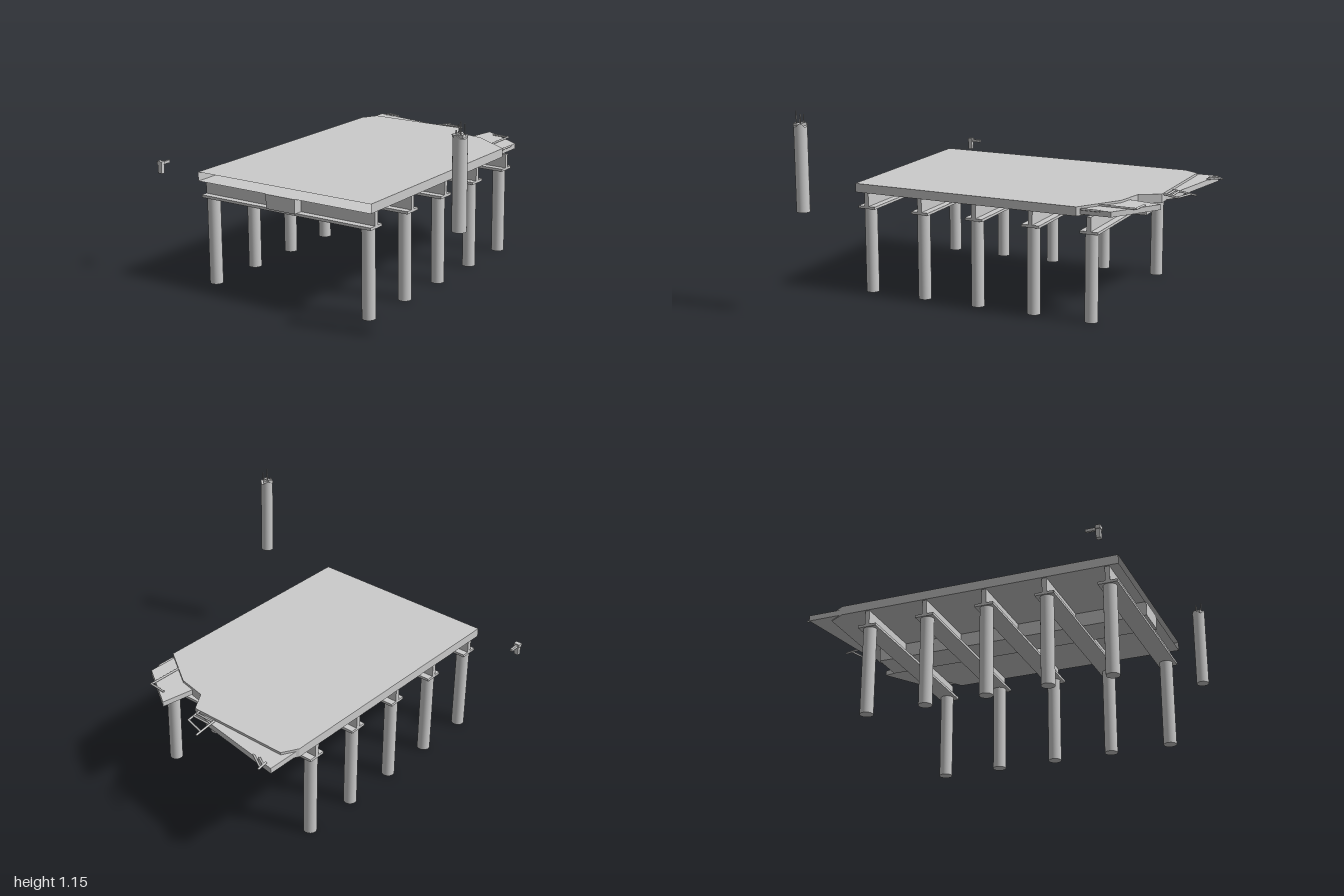
import * as THREE from 'three';

const mat = new THREE.MeshStandardMaterial({ color: 0xcccccc });
const thin = new THREE.MeshStandardMaterial({ color: 0xcccccc, side: THREE.DoubleSide });

export function createModel() {
  const root = new THREE.Group();

  const add = (name, geo, x = 0, y = 0, z = 0, material = mat) => {
    const m = new THREE.Mesh(geo, material);
    m.name = name;
    m.position.set(x, y, z);
    root.add(m);
    return m;
  };
  const box = (name, x0, x1, y0, y1, z0, z1) =>
    add(name, new THREE.BoxGeometry(x1 - x0, y1 - y0, z1 - z0),
      (x0 + x1) / 2, (y0 + y1) / 2, (z0 + z1) / 2);
  // Outline given as [x, z] pairs, laid flat
  const outline = pts => new THREE.Shape(pts.map(([x, z]) => new THREE.Vector2(x, -z)));
  const sheet = pts => new THREE.ShapeGeometry(outline(pts)).rotateX(-Math.PI / 2);
  const slab = (pts, depth) =>
    new THREE.ExtrudeGeometry(outline(pts), { depth, bevelEnabled: false }).rotateX(-Math.PI / 2);
  // Straight round bar between two points
  const bar = (name, a, b, r) => {
    const p = new THREE.Vector3(...a), q = new THREE.Vector3(...b);
    const d = q.clone().sub(p);
    const m = add(name, new THREE.CylinderGeometry(r, r, d.length(), 8));
    m.position.copy(p).add(q).multiplyScalar(0.5);
    m.quaternion.setFromUnitVectors(new THREE.Vector3(0, 1, 0), d.normalize());
    return m;
  };

  // Deck: top and bottom sheets, side walls, open along the front edge
  const y0 = 0.595, y1 = 0.646;
  const edge = [[0.44, 0.9], [0.44, -0.47], [0.2, -0.63], [0.03, -0.665],
    [-0.04, -0.78], [-0.65, -0.78], [-0.7, -0.69], [-0.7, 0.9]];
  add('deckTop', sheet(edge), 0, y1, 0, thin);
  add('deckUnderside', sheet(edge), 0, y0, 0, thin);
  const walls = [];
  for (let i = 0; i < edge.length - 1; i++) {
    const [ax, az] = edge[i], [bx, bz] = edge[i + 1];
    walls.push(ax, y0, az, bx, y0, bz, bx, y1, bz, ax, y0, az, bx, y1, bz, ax, y1, az);
  }
  const wallGeo = new THREE.BufferGeometry();
  wallGeo.setAttribute('position', new THREE.Float32BufferAttribute(walls, 3));
  wallGeo.computeVertexNormals();
  add('deckWalls', wallGeo, 0, 0, 0, thin);

  // Broken slabs at the back edge
  add('brokenSlabLeft', slab([[0.11, -0.65], [0.2, -0.625], [0.42, -0.48], [0.42, -0.66], [0.145, -0.84]], 0.03),
    0, 0.603, 0);
  add('brokenSlabRight', slab([[-0.69, -0.7], [-0.645, -0.775], [-0.09, -0.775], [-0.15, -0.81], [-0.69, -0.9]], 0.032),
    0, 0.6, 0);

  // Piles and cross beams
  for (const z of [0.835, 0.49, 0.15, -0.195, -0.538]) {
    for (const x of [-0.648, 0.38])
      add('pile', new THREE.CylinderGeometry(0.037, 0.037, 0.5, 24), x, 0.25, z);
    box('crossBeamFlange', -0.69, 0.43, 0.5, 0.515, z - 0.053, z + 0.053);
    box('crossBeamWeb', -0.69, 0.43, 0.515, y0, z - 0.013, z + 0.013);
  }
  // Central beam under the deck
  box('centralBeam', -0.23, -0.04, 0.515, y0, -0.69, 0.905);

  // Bent railings lying over the back edge
  const r = 0.006;
  const rails = [
    [[-0.64, 0.625, -0.94], [-0.64, 0.635, -0.88]],
    [[-0.64, 0.63, -0.925], [-0.55, 0.638, -0.875]],
    [[-0.64, 0.63, -0.9], [-0.59, 0.638, -0.875]],
    [[-0.193, 0.62, -0.93], [-0.193, 0.64, -0.79]],
    [[-0.07, 0.625, -0.865], [-0.07, 0.64, -0.775]],
    [[-0.193, 0.625, -0.895], [-0.07, 0.628, -0.863]],
    [[-0.193, 0.634, -0.825], [-0.07, 0.634, -0.825]],
    [[-0.193, 0.637, -0.8], [-0.07, 0.637, -0.8]],
    [[0.21, 0.637, -0.77], [0.32, 0.637, -0.76]],
    [[0.315, 0.637, -0.765], [0.315, 0.637, -0.55]],
    [[0.423, 0.632, -0.6], [0.423, 0.632, -0.49]],
  ];
  for (const [a, b] of rails) bar('railing', a, b, r);

  // Separate broken column with exposed rods
  const cx = 0.96, cz = 0.905;
  const column = new THREE.CylinderGeometry(0.037, 0.037, 0.48, 24, 1);
  const p = column.attributes.position;
  for (let i = 0; i < p.count; i++)
    if (p.getY(i) > 0) p.setY(i, 0.235 + 0.012 * Math.sin(p.getX(i) * 90 + p.getZ(i) * 60));
  column.computeVertexNormals();
  add('column', column, cx, 0.835, cz);
  const lumps = [[0.015, 0.012], [-0.018, 0.01], [-0.006, -0.018]];
  lumps.forEach(([x, z], i) => {
    const lump = add('columnRubble', new THREE.BoxGeometry(0.03, 0.016, 0.026), cx + x, 1.074, cz + z);
    lump.rotation.set(0.15, i * 1.1, 0.1);
  });
  const rods = [[-0.015, -0.012, 1.125], [0.012, 0.016, 1.147], [0.018, -0.014, 1.13], [-0.014, 0.014, 1.1]];
  for (const [x, z, top] of rods)
    bar('columnRod', [cx + x, 1.05, cz + z], [cx + x, top, cz + z], 0.003);

  // Small separate post with a cap and an arm
  box('smallPost', -0.993, -0.967, 0.595, 0.645, 0.877, 0.9);
  box('smallPostCap', -0.998, -0.962, 0.645, 0.665, 0.875, 0.903);
  box('smallPostArm', -0.987, -0.975, 0.642, 0.658, 0.82, 0.877);

  return root;
}
